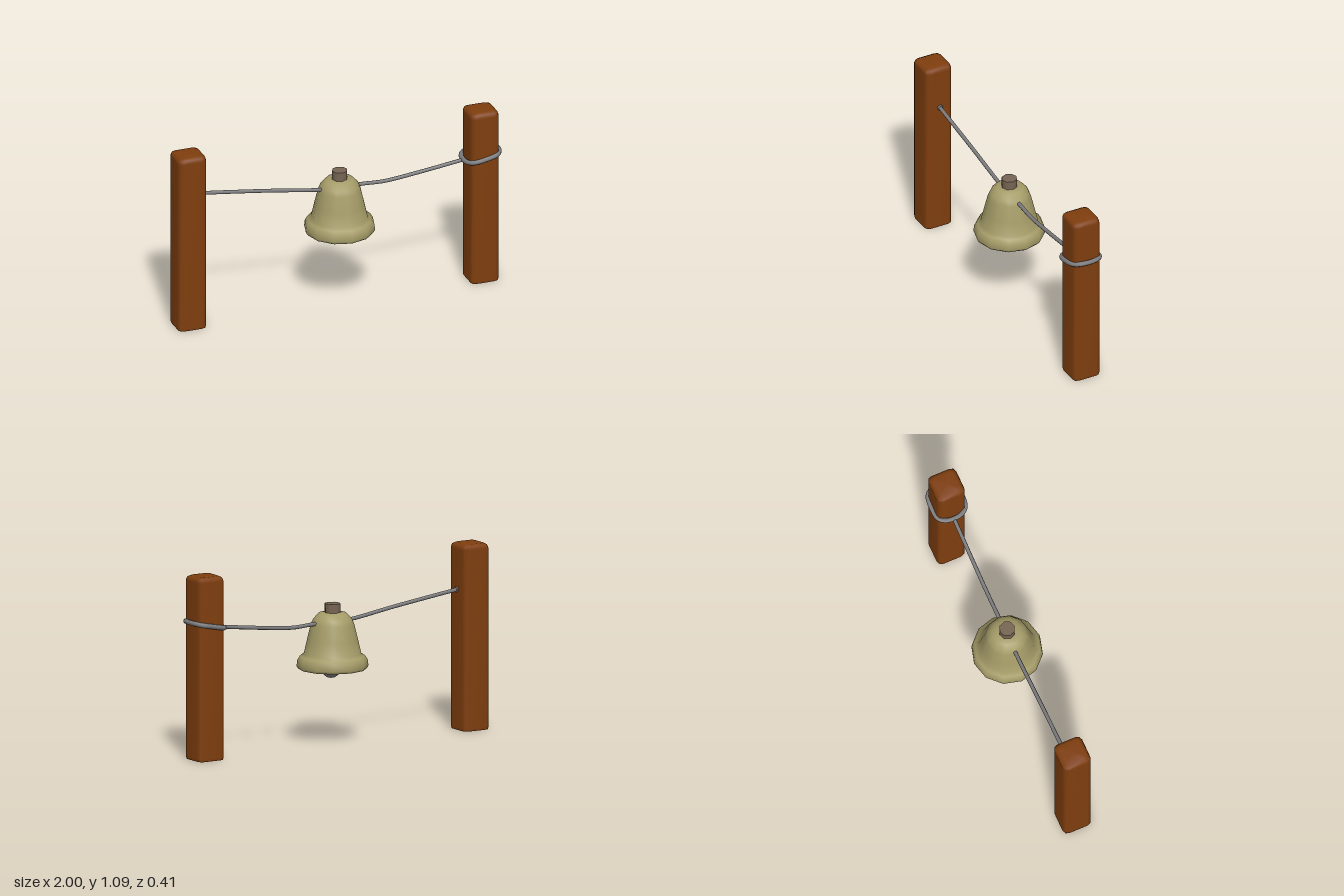
import * as THREE from 'three';

const mat = (name, color, side = THREE.FrontSide) => {
  const m = new THREE.MeshStandardMaterial({ color, side });
  m.name = name;
  return m;
};

// Square outline with rounded corners, half size h and corner radius r
function squareRing(h, r) {
  const pts = [];
  for (let q = 0; q < 4; q++) {
    const cx = (q === 0 || q === 3 ? 1 : -1) * (h - r);
    const cz = (q < 2 ? 1 : -1) * (h - r);
    for (let i = 0; i < 3; i++) {
      const a = (q + i / 2) * Math.PI / 2;
      pts.push([cx + r * Math.cos(a), cz + r * Math.sin(a)]);
    }
  }
  return pts;
}

// Hollow post, open underneath, with softened edges
function postGeometry(height) {
  const levels = [
    [0, 0.083, 0.026], [0.015, 0.0875, 0.03], [height - 0.03, 0.0875, 0.03],
    [height - 0.01, 0.081, 0.028], [height, 0.062, 0.02],
  ];
  const pos = [], idx = [], n = 12;
  for (const [y, h, r] of levels)
    for (const [x, z] of squareRing(h, r)) pos.push(x, y, z);
  for (let l = 0; l < levels.length - 1; l++)
    for (let i = 0; i < n; i++) {
      const a = l * n + i, b = l * n + (i + 1) % n;
      idx.push(a, a + n, b, b, a + n, b + n);
    }
  const top = pos.length / 3, last = (levels.length - 1) * n;
  pos.push(0, height, 0);
  for (let i = 0; i < n; i++) idx.push(last + i, top, last + (i + 1) % n);
  const g = new THREE.BufferGeometry();
  g.setAttribute('position', new THREE.Float32BufferAttribute(pos, 3));
  g.setIndex(idx);
  g.computeVertexNormals();
  return g;
}

function tube(points, radius, segments, closed = false) {
  const curve = new THREE.CatmullRomCurve3(points.map(p => new THREE.Vector3(...p)), closed, 'centripetal');
  return new THREE.TubeGeometry(curve, segments, radius, 8, closed);
}

export function createModel() {
  const group = new THREE.Group();
  group.name = 'hangingBell';
  const wood = mat('wood', 0x7f3e0e, THREE.DoubleSide);
  const brass = mat('brass', 0xa59c68, THREE.DoubleSide);
  const rope = mat('rope', 0x7c7c7e);
  const peg = mat('peg', 0x776554);

  const add = (name, geometry, material, x = 0, y = 0, z = 0) => {
    const m = new THREE.Mesh(geometry, material);
    m.name = name;
    m.position.set(x, y, z);
    group.add(m);
    return m;
  };

  // Posts
  add('rightPost', postGeometry(1.09), wood, -0.912);
  add('leftPost', postGeometry(1.075), wood, 0.888);

  // Bell: outer wall from the rim's inside, up and over the crown
  const bellX = 0.02;
  const profile = pts => pts.map(([r, y]) => new THREE.Vector2(r, y));
  add('bell', new THREE.LatheGeometry(profile([
    [0.175, 0.447], [0.198, 0.445], [0.207, 0.46], [0.203, 0.495], [0.188, 0.52], [0.166, 0.532],
    [0.148, 0.61], [0.125, 0.705], [0.112, 0.735], [0.083, 0.768], [0.045, 0.774], [0, 0.774],
  ]), 12), brass, bellX);
  add('bellInside', new THREE.LatheGeometry(profile([
    [0, 0.745], [0.07, 0.74], [0.105, 0.7], [0.148, 0.53], [0.175, 0.447],
  ]), 12), brass, bellX);

  // Crown peg, clapper rod and clapper
  add('crownPeg', new THREE.CylinderGeometry(0.046, 0.047, 0.065, 8), peg, bellX, 0.793);
  add('clapperRod', new THREE.CylinderGeometry(0.015, 0.015, 0.29, 8), peg, bellX + 0.005, 0.61);
  add('clapper', new THREE.SphereGeometry(0.057, 12, 8), rope, bellX + 0.01, 0.447);

  // Sagging rope
  add('rope', tube([
    [-0.85, 0.824, 0], [-0.78, 0.816, 0], [-0.4, 0.765, 0], [-0.1, 0.72, 0], [0.02, 0.715, 0],
    [0.16, 0.715, 0], [0.29, 0.709, 0], [0.5, 0.729, 0], [0.79, 0.765, 0],
  ], 0.0115, 32), rope);

  // Eyelet where the rope meets the post
  const eyelet = add('eyelet', new THREE.TorusGeometry(0.012, 0.006, 6, 10), rope, -0.822, 0.822);
  eyelet.rotation.y = Math.PI / 2;

  // Tilted loop tied around the other post
  const loop = [
    [0.785, 0.045], [0.815, 0.086], [0.888, 0.096], [0.955, 0.086], [0.985, 0.045],
  ];
  const loopPoints = [...loop, ...loop.slice().reverse().map(([x, z]) => [x, -z])]
    .map(([x, z]) => [x, 0.768 + (x - 0.785) * 0.2, z]);
  add('postLoop', tube(loopPoints, 0.0145, 40, true), rope);

  return group;
}
